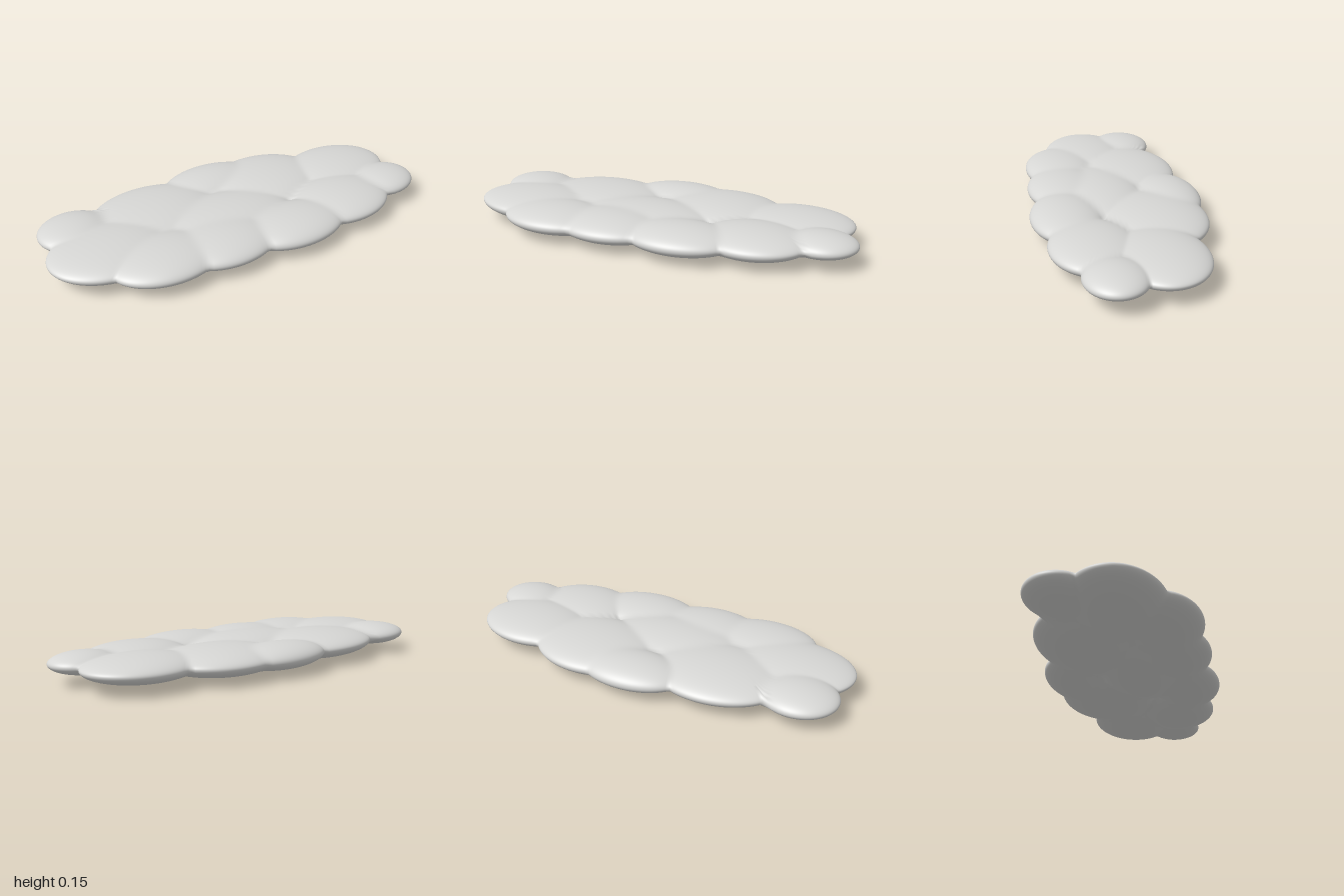
import * as THREE from 'three';
import { mergeVertices } from 'three/addons/utils/BufferGeometryUtils.js';

// Puffs of the cloud: centre x, centre z, radius x, radius z, depth below the rim
const puffs = [
  [-0.79, -0.19, 0.185, 0.165, 0.055], // back right
  [-0.69, 0.04, 0.31, 0.23, 0.073],    // right end
  [-0.38, -0.15, 0.34, 0.255, 0.073],
  [0.01, -0.29, 0.27, 0.16, 0.062],    // back middle
  [0.27, -0.16, 0.32, 0.255, 0.073],
  [0.67, -0.09, 0.29, 0.22, 0.065],
  [0.83, 0.14, 0.17, 0.145, 0.05],     // left end
  [0.52, 0.18, 0.27, 0.21, 0.068],
  [0.18, 0.26, 0.28, 0.18, 0.066],     // front
  [-0.19, 0.22, 0.28, 0.2, 0.066],
  [-0.49, 0.21, 0.28, 0.195, 0.066],
  [-0.08, 0.05, 0.36, 0.22, 0.086],    // middle
];
const BLEND = 18;

// Softly blended height of all puffs at a point, above (1) or below the rim
function height(x, z, above) {
  let sum = 0;
  for (const [cx, cz, rx, rz, depth] of puffs) {
    const q = 1 - ((x - cx) / rx) ** 2 - ((z - cz) / rz) ** 2;
    if (q > 0) sum += (Math.sqrt(q) * (above ? 1 : depth / 0.086)) ** BLEND;
  }
  return sum ** (1 / BLEND);
}

// Farthest distance from a spine point to the outline in a direction
function reach(ox, dx, dz) {
  let far = 0;
  for (const [cx, cz, rx, rz] of puffs) {
    const px = (ox - cx) / rx, pz = -cz / rz, ux = dx / rx, uz = dz / rz;
    const a = ux * ux + uz * uz, b = px * ux + pz * uz, c = px * px + pz * pz - 1;
    const d = b * b - a * c;
    if (d > 0) far = Math.max(far, (-b + Math.sqrt(d)) / a);
  }
  return far;
}

// Rings run from the spine over the top to the rim, then back underneath
function cloudGeometry(rings = 64, sides = 288) {
  const positions = [], index = [];
  for (let i = 0; i <= rings; i++) {
    const t = (i / rings) * Math.PI;
    const s = Math.sin(t);
    const above = i < rings / 2;
    for (let j = 0; j < sides; j++) {
      const angle = (j / sides) * Math.PI * 2;
      const dx = Math.cos(angle), dz = Math.sin(angle), ox = 0.55 * dx;
      const r = reach(ox, dx, dz) * s;
      const x = ox + dx * r, z = dz * r;
      const mid = 0.088 + 0.014 * x * x;
      const h = i === rings / 2 ? 0 : height(x, z, above);
      positions.push(x, above ? mid + (0.154 - mid) * h : mid - 0.086 * h, z);
      if (i < rings) {
        const a = i * sides + j, b = i * sides + (j + 1) % sides;
        index.push(a, b, a + sides, b, b + sides, a + sides);
      }
    }
  }
  let geometry = new THREE.BufferGeometry();
  geometry.setAttribute('position', new THREE.Float32BufferAttribute(positions, 3));
  geometry.setIndex(index);
  geometry = mergeVertices(geometry, 1e-5);
  geometry.computeVertexNormals();
  return geometry;
}

export function createModel() {
  const group = new THREE.Group();
  group.name = 'cloud';
  const cloudGrey = new THREE.MeshStandardMaterial({ color: 0xd6d6d4 });
  cloudGrey.name = 'cloudGrey';
  const body = new THREE.Mesh(cloudGeometry(), cloudGrey);
  body.name = 'cloudBody';
  // Rest the lowest puff on the ground
  body.geometry.computeBoundingBox();
  body.position.y = -body.geometry.boundingBox.min.y;
  group.add(body);
  return group;
}
